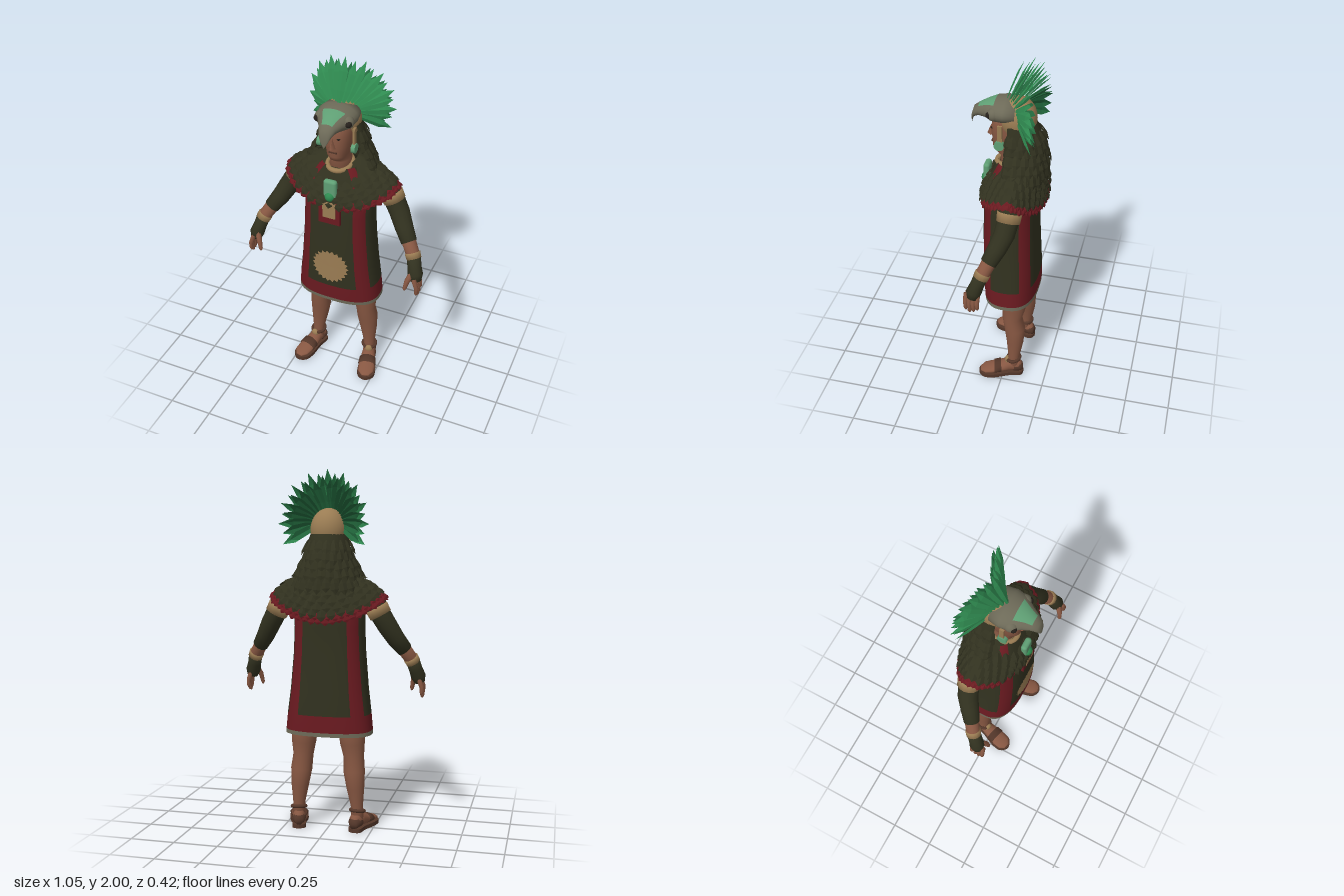
import * as THREE from 'three';
import { RoundedBoxGeometry } from 'three/addons/geometries/RoundedBoxGeometry.js';

const V = (x, y, z) => new THREE.Vector3(x, y, z);

export function createModel() {
  const model = new THREE.Group();
  const colour = (name, color, side = THREE.FrontSide) => Object.assign(new THREE.MeshStandardMaterial({ color, side }), { name });
  const M = {
    dark: colour('dark cloth', 0x31311f, THREE.DoubleSide),
    red: colour('red cloth', 0x6a1a20, THREE.DoubleSide),
    skin: colour('skin', 0x875742),
    tan: colour('tan', 0x9a7c53),
    green: colour('green feather', 0x2f8a50, THREE.DoubleSide),
    deep: colour('deep green feather', 0x236a3e, THREE.DoubleSide),
    jade: colour('jade', 0x5f9f74),
    bone: colour('grey bone', 0x6d6a58, THREE.DoubleSide),
    leather: colour('leather', 0x54372a),
    black: colour('eye black', 0x26211c),
  };

  const add = (name, geo, mat, pos = [0, 0, 0], parent = model) => {
    const m = new THREE.Mesh(geo, mat);
    m.name = name;
    m.position.set(...pos);
    parent.add(m);
    return m;
  };

  // Smooth skin over a grid of points; pick(i, j) chooses the colour of each cell
  function loft(name, rows, cols, point, pick, { closed = true, caps = true, parent = model } = {}) {
    const pts = [], n = closed ? cols : cols + 1;
    for (let i = 0; i < rows; i++) for (let j = 0; j < n; j++) pts.push(point(i, j / cols));
    const cells = new Map(), id = (i, j) => i * n + (j % n);
    const put = (mat, ...t) => cells.set(mat, [...(cells.get(mat) || []), ...t]);
    for (let i = 0; i < rows - 1; i++) for (let j = 0; j < cols; j++) {
      const a = id(i, j), b = id(i, j + 1), c = id(i + 1, j + 1), d = id(i + 1, j);
      put(pick(i, (j + 0.5) / cols), a, b, c, a, c, d);
    }
    if (closed && caps) for (const i of [0, rows - 1]) {
      const mid = V(0, 0, 0);
      for (let j = 0; j < n; j++) mid.addScaledVector(pts[id(i, j)], 1 / n);
      const c = pts.push(mid) - 1;
      for (let j = 0; j < n; j++) {
        const e = [id(i, j), id(i, j + 1)];
        put(pick(Math.min(i, rows - 2), (j + 0.5) / cols), c, ...(i ? e : e.reverse()));
      }
    }
    // turn all faces outward
    const mid = pts.reduce((s, p) => s.addScaledVector(p, 1 / pts.length), V(0, 0, 0));
    let vol = 0;
    for (const t of cells.values()) for (let k = 0; k < t.length; k += 3) {
      const [a, b, c] = [0, 1, 2].map(q => pts[t[k + q]].clone().sub(mid));
      vol += a.dot(b.cross(c));
    }
    const geo = new THREE.BufferGeometry().setFromPoints(pts), index = [], mats = [];
    for (const [mat, t] of cells) {
      geo.addGroup(index.length, t.length, mats.length);
      mats.push(mat);
      for (let k = 0; k < t.length; k += 3) index.push(t[k], ...(vol < 0 ? [t[k + 2], t[k + 1]] : [t[k + 1], t[k + 2]]));
    }
    geo.setIndex(index);
    geo.computeVertexNormals();
    return add(name, geo, mats, [0, 0, 0], parent);
  }

  // Rounded-square ring: half width w, front zf, back zb
  function ring(u, [y, w, zf, zb], e) {
    const a = u * Math.PI * 2, p = v => Math.sign(v) * Math.abs(v) ** (2 / e);
    return V(w * p(Math.cos(a)), y, (zf + zb) / 2 + (zf - zb) / 2 * p(Math.sin(a)));
  }

  // Round limb through [x, y, z, radius] points
  function limb(name, pts, mat, s = 1, cols = 14) {
    const P = pts.map(p => V(p[0] * s, p[1], p[2]));
    loft(name, P.length, cols, (i, u) => {
      const t = P[Math.min(i + 1, P.length - 1)].clone().sub(P[Math.max(i - 1, 0)]).normalize();
      const a = t.clone().cross(V(0, 0, 1)).normalize(), b = a.clone().cross(t), r = pts[i][3];
      return P[i].clone().addScaledVector(a, r * Math.cos(u * 2 * Math.PI)).addScaledVector(b, r * Math.sin(u * 2 * Math.PI));
    }, () => mat);
  }

  // Many folded leaf-shaped feathers in one mesh
  function feathers(name, list, mat) {
    const out = [], T = [0, 0.3, 0.7, 1], W = [0.35, 0.85, 1, 0];
    for (const [root, dir, normal, len, width] of list) {
      const d = dir.clone().normalize(), side = d.clone().cross(normal).normalize(), up = side.clone().cross(d);
      const at = (k, q) => root.clone().addScaledVector(d, len * T[k]).addScaledVector(side, q * W[k] * width / 2)
        .addScaledVector(up, q ? 0 : width * 0.18 * W[k]);
      for (let k = 0; k < 3; k++) for (const q of [-1, 1]) {
        const a = at(k, 0), b = at(k, q), c = at(k + 1, q), e = at(k + 1, 0);
        out.push(...(q > 0 ? [a, c, b, a, e, c] : [a, b, c, a, c, e]));
      }
    }
    const geo = new THREE.BufferGeometry().setFromPoints(out);
    geo.computeVertexNormals();
    add(name, geo, mat);
  }

  // Tunic with red corner stripes and hem
  const tunic = [[0.55, 0.245, 0.13, -0.17], [0.572, 0.243, 0.132, -0.17], [0.665, 0.234, 0.136, -0.17], [0.8, 0.217, 0.14, -0.165],
    [1, 0.2, 0.14, -0.157], [1.15, 0.194, 0.135, -0.155], [1.25, 0.194, 0.13, -0.16], [1.35, 0.17, 0.1, -0.14], [1.42, 0.1, 0.06, -0.1]];
  loft('tunic', tunic.length, 96, (i, u) => ring(u, tunic[i], 2.6), (i, u) => {
    if (i < 2) return i ? M.red : M.bone;
    const x = Math.abs(ring(u, [0, 1, 1, -1], 2.6).x);
    return x > 0.64 && x < 0.91 ? M.red : M.dark;
  }, { caps: false });
  loft('tunicLining', 2, 32, (i, u) => ring(u, [0.64 + i * 0.01, 0.225, 0.125, -0.16], 2.6), () => M.dark);

  // Sun emblem, bent to follow the cloth
  const sun = new THREE.RingGeometry(0.001, 0.1, 44, 3), sp = sun.attributes.position;
  for (let k = 0; k < sp.count; k++) {
    const f = k >= 135 ? (k % 2 ? 1.1 : 0.94) : 1, x = sp.getX(k) * f;
    sp.setXYZ(k, x, sp.getY(k) * f, -0.9 * x * x);
  }
  sun.computeVertexNormals();
  add('sunEmblem', sun, M.tan, [0, 0.81, 0.145]);

  // Feather cape
  const cape = (u, t) => {
    const c = Math.cos(u), s = Math.sin(u), b = Math.sin(t * Math.PI / 2);
    const hem = 1.33 - (s > 0 ? 0.1 : 0.125) * Math.abs(s) ** 1.5, top = 1.45 - 0.04 * Math.max(s, 0);
    return V((0.08 + 0.225 * t) * c, top + (hem - top) * t ** (1.6 - 0.6 * Math.abs(s)), -0.05 + s * (s > 0 ? 0.1 + 0.085 * b : 0.1 + 0.045 * b));
  };
  loft('cape', 9, 48, (i, u) => cape(u * 2 * Math.PI, i / 8), () => M.dark, { caps: false });

  // Long hood, open at the face
  const hoodRows = [[1.7, 0.085, 0.085], [1.62, 0.112, 0.125], [1.55, 0.127, 0.145], [1.48, 0.16, 0.16], [1.38, 0.205, 0.165]];
  const hood = (u, t) => {
    const k = Math.min(Math.floor(t * 4), 3), f = t * 4 - k, a = -0.45 + u * (Math.PI + 0.9);
    const [y, w, d] = hoodRows[k].map((v, q) => v + (hoodRows[k + 1][q] - v) * f), s = -Math.sin(a);
    return V(w * Math.cos(a), y, -0.03 + s * (s > 0 ? 0.06 : d));
  };
  loft('hood', 9, 32, (i, u) => hood(u, i / 8), () => M.dark, { closed: false });

  // Feather rows laid over a surface
  function rowsOn(fn, rows, span, len, width, tilt, loop) {
    const list = [];
    rows.forEach(([t, n], r) => {
      for (let k = 0; k < n; k++) {
        const u = (k + (loop ? (r % 2) * 0.5 : 0.5)) / n * span, p = fn(u, t);
        const down = fn(u, t).sub(fn(u, t - 0.05)).normalize();
        const nor = fn(u + 0.01, t).sub(p).cross(down).normalize();
        if (nor.dot(p.clone().sub(V(0, 1.25, -0.05))) < 0) nor.negate();
        list.push([p.clone().addScaledVector(nor, 0.002), down.addScaledVector(nor, tilt), nor, len * (0.9 + 0.2 * ((k * 7 + r * 3) % 5) / 4), width]);
      }
    });
    return list;
  }
  const TAU = Math.PI * 2;
  feathers('capeFeathers', rowsOn(cape, [[0.3, 22], [0.45, 26], [0.6, 30], [0.74, 34]], TAU, 0.075, 0.05, 0.14, true), M.dark);
  feathers('capeFringe', rowsOn(cape, [[0.88, 52], [0.96, 52]], TAU, 0.045, 0.04, 0.12, true), M.red);
  feathers('hoodFeathers', rowsOn(hood, [[0.25, 12], [0.42, 14], [0.58, 15], [0.74, 17], [0.9, 18]], 1, 0.085, 0.045, 0.1, false), M.dark);

  // Head and face
  const head = [[1.36, 0.062, 0.06, -0.08], [1.45, 0.055, 0.05, -0.08], [1.475, 0.045, 0.082, -0.08], [1.5, 0.058, 0.094, -0.08],
    [1.56, 0.07, 0.097, -0.09], [1.62, 0.075, 0.1, -0.1], [1.7, 0.072, 0.085, -0.1]];
  loft('head', head.length, 28, (i, u) => ring(u, head[i], 2.3), () => M.skin);
  const nose = add('nose', new THREE.ConeGeometry(0.02, 0.06, 4), M.skin, [0, 1.59, 0.102]);
  nose.scale.z = 1.2;
  add('mouth', new THREE.BoxGeometry(0.045, 0.008, 0.008), M.leather, [0, 1.53, 0.094]);
  const collar = add('beadCollar', new THREE.TorusGeometry(0.066, 0.013, 8, 28), M.tan, [0, 1.418, -0.003]);
  collar.rotation.x = Math.PI / 2 + 0.15;
  collar.scale.y = 1.15;

  // Beaked skull headpiece
  const skull = [[-0.04, 1.72, 0.1, 0.055], [0.02, 1.72, 0.11, 0.064], [0.075, 1.716, 0.1, 0.06], [0.125, 1.712, 0.066, 0.045],
    [0.165, 1.702, 0.046, 0.033], [0.192, 1.685, 0.034, 0.03], [0.204, 1.655, 0.02, 0.022], [0.206, 1.625, 0.004, 0.006]];
  loft('skullMask', skull.length, 28, (i, u) => {
    const [z, y, w, h] = skull[i], a = u * TAU;
    return V(w * Math.cos(a), y + h * Math.sin(a), z);
  }, (i, u) => (i > 1 && i < 4 && Math.abs(u - 0.25) < 0.1 ? M.jade : M.bone));
  add('cap', new THREE.SphereGeometry(1, 28, 18), M.tan, [0, 1.675, -0.04]).scale.set(0.1, 0.118, 0.1);

  // Feather crown in two layers
  const crown = (n, size, back) => Array.from({ length: n }, (_, k) => {
    const a = (k / (n - 1) * 2 - 1) * 2.02, s = Math.sin(a), c = Math.cos(a), len = size * (k % 2 ? 0.93 : 1);
    const root = V(0.075 * s, 1.72 + 0.05 * c, 0.02 - 0.07 * Math.abs(s) - back);
    const tip = V(0.25 * len * s, 1.72 + 0.28 * len * c, -0.07 - 0.095 * Math.abs(s) - back);
    const dir = tip.sub(root);
    return [root, dir, V(-0.3 * s, 0.3, 1), dir.length(), 0.048];
  });
  feathers('crownFeathers', crown(21, 1, 0), M.green);
  feathers('crownBackFeathers', crown(20, 0.88, 0.012), M.deep);

  // Chest ornament
  add('jadePendant', new RoundedBoxGeometry(0.075, 0.11, 0.035, 3, 0.016), M.jade, [0, 1.325, 0.127]);
  add('pendantBead', new THREE.SphereGeometry(0.03, 16, 12), M.green, [0, 1.28, 0.132]);
  add('chestPanel', new THREE.BoxGeometry(0.125, 0.14, 0.014), M.red, [0, 1.18, 0.141]);
  add('chestPanelInset', new THREE.BoxGeometry(0.075, 0.1, 0.008), M.tan, [0, 1.2, 0.148]);

  const soleShape = new THREE.Shape();
  soleShape.moveTo(0, -0.06);
  soleShape.splineThru([[0.036, -0.04], [0.038, 0.03], [0.053, 0.12], [0.045, 0.18], [0, 0.208], [-0.045, 0.18], [-0.053, 0.12],
    [-0.038, 0.03], [-0.036, -0.04], [0, -0.06]].map(p => new THREE.Vector2(...p)));
  const soleGeo = new THREE.ExtrudeGeometry(soleShape, { depth: 0.022, bevelEnabled: false, curveSegments: 24 }).rotateX(Math.PI / 2);
  const footRows = [[-0.052, 0.018, 0.05], [-0.03, 0.034, 0.085], [0.03, 0.038, 0.085], [0.08, 0.045, 0.06], [0.13, 0.049, 0.04], [0.17, 0.045, 0.03], [0.197, 0.02, 0.016]];
  const footPoint = ([z, w, h], u, g = 1) => V(w * g * Math.cos(u * TAU), 0.02 + h * g * (0.5 + 0.5 * Math.sin(u * TAU)), z);

  for (const s of [1, -1]) {
    const side = s > 0 ? 'left' : 'right';
    // Face and headpiece details
    add(side + 'Eye', new THREE.SphereGeometry(0.01, 10, 8), M.black, [s * 0.031, 1.615, 0.091]).scale.y = 0.5;
    add(side + 'SkullBrow', new THREE.SphereGeometry(0.036, 16, 12), M.bone, [s * 0.072, 1.717, 0.072]);
    add(side + 'SkullEye', new THREE.SphereGeometry(0.019, 12, 10), M.black, [s * 0.086, 1.717, 0.092]);
    add(side + 'EarStrap', new THREE.BoxGeometry(0.012, 0.11, 0.025), M.tan, [s * 0.096, 1.61, 0.035]);
    add(side + 'EarDisc', new THREE.CylinderGeometry(0.027, 0.027, 0.022, 20), M.jade, [s * 0.097, 1.55, 0.038]).rotation.z = Math.PI / 2;

    // Arm
    limb(side + 'Sleeve', [[0.18, 1.37, -0.06, 0.05], [0.25, 1.3, -0.06, 0.064], [0.29, 1.23, -0.058, 0.058], [0.33, 1.16, -0.045, 0.056],
      [0.37, 1.09, -0.015, 0.051], [0.415, 1.025, 0.02, 0.044]], M.dark, s);
    limb(side + 'ArmBand', [[0.271, 1.262, -0.06, 0.066], [0.295, 1.218, -0.057, 0.063]], M.tan, s);
    limb(side + 'Forearm', [[0.405, 1.04, 0.012, 0.04], [0.455, 0.96, 0.05, 0.037], [0.468, 0.92, 0.066, 0.034]], M.skin, s);
    limb(side + 'WristBand', [[0.445, 0.978, 0.042, 0.043], [0.459, 0.95, 0.054, 0.041]], M.tan, s);
    limb(side + 'Glove', [[0.457, 0.954, 0.052, 0.039], [0.47, 0.91, 0.07, 0.038], [0.482, 0.87, 0.085, 0.042], [0.49, 0.835, 0.092, 0.03]], M.dark, s);
    for (let k = 0; k < 4; k++) {
      const z = 0.062 + 0.021 * k, low = [0.765, 0.75, 0.745, 0.76][k];
      limb(side + 'Finger', [[0.488, 0.86, z, 0.014], [0.505, 0.81, z + 0.002, 0.013], [0.505, low + 0.015, z, 0.011], [0.503, low, z, 0.004]], M.skin, s, 8);
    }
    limb(side + 'Thumb', [[0.47, 0.885, 0.1, 0.018], [0.45, 0.84, 0.125, 0.015], [0.44, 0.79, 0.132, 0.011], [0.44, 0.778, 0.132, 0.004]], M.skin, s, 8);

    // Leg
    limb(side + 'Leg', [[0.13, 0.64, -0.05, 0.08], [0.14, 0.5, -0.053, 0.069], [0.146, 0.42, -0.045, 0.057], [0.152, 0.34, -0.062, 0.06],
      [0.16, 0.25, -0.065, 0.05], [0.168, 0.14, -0.06, 0.034], [0.17, 0.05, -0.058, 0.036]], M.skin, s, 20);

    // Foot and sandal, toes turned out
    const foot = new THREE.Group();
    foot.name = side + 'Foot';
    foot.position.set(s * 0.17, 0, -0.058);
    foot.rotation.y = s * 0.26;
    model.add(foot);
    add('sole', soleGeo, M.leather, [0, 0.022, 0], foot);
    loft('foot', footRows.length, 18, (i, u) => footPoint(footRows[i], u), () => M.skin, { parent: foot });
    const strap = [[0.075, 0.046, 0.063], [0.115, 0.049, 0.048]];
    loft('instepStrap', 2, 18, (i, u) => footPoint(strap[i], u, 1.08), () => M.leather, { parent: foot });
    const heel = [[-0.055, 0.02, 0.045], [-0.035, 0.034, 0.06], [0.0, 0.036, 0.058]];
    loft('heelStrap', 3, 18, (i, u) => footPoint(heel[i], u, 1.1), () => M.leather, { parent: foot });
    add('ankleStrap', new THREE.TorusGeometry(0.038, 0.01, 8, 24), M.leather, [0, 0.115, 0], foot).rotation.x = Math.PI / 2 + 0.2;
    add('strapKnot', new THREE.SphereGeometry(0.024, 12, 10), M.tan, [0, 0.1, 0.036], foot).scale.z = 0.7;
  }
  return model;
}
